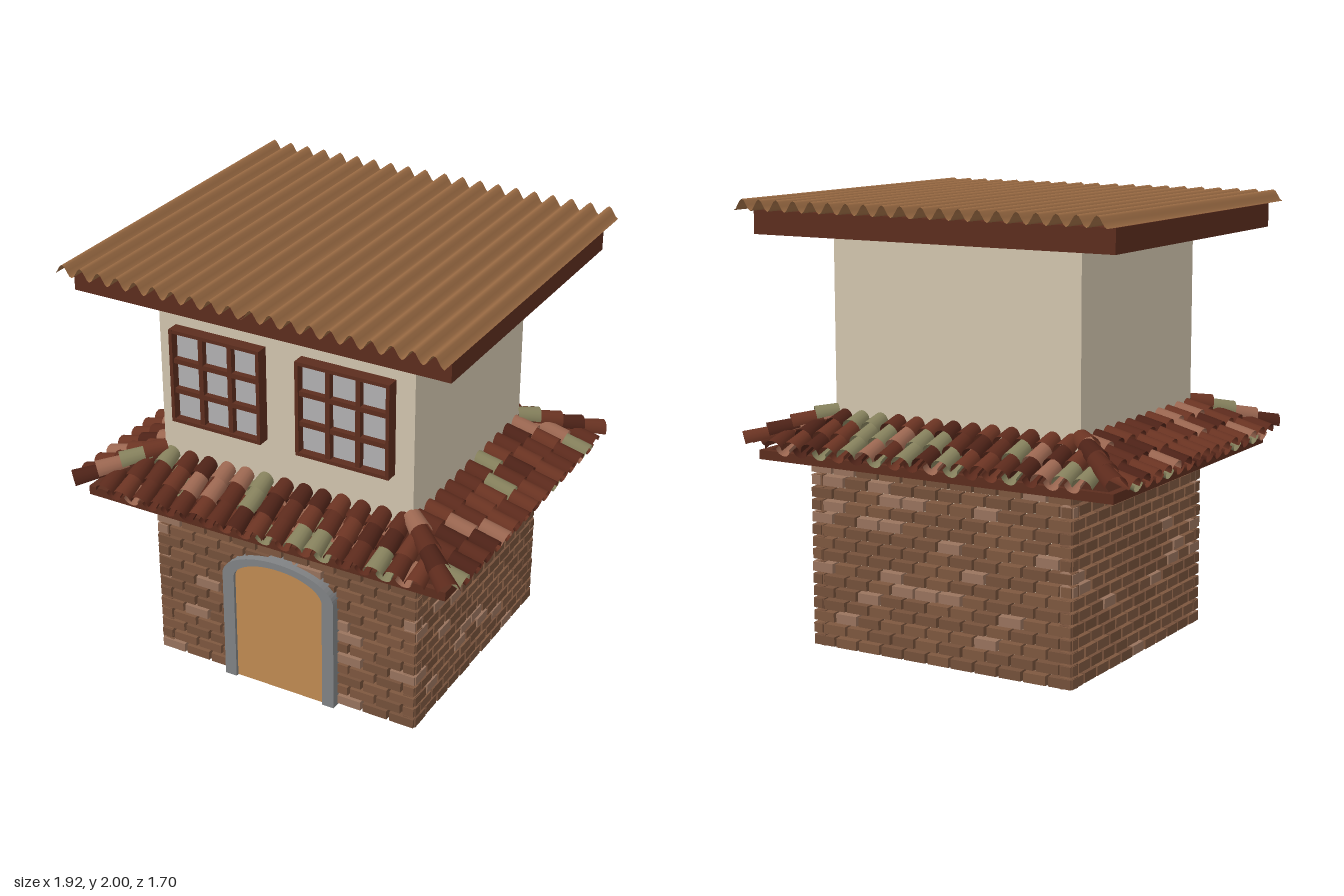
import * as THREE from 'three';
import { mergeGeometries } from 'three/addons/utils/BufferGeometryUtils.js';

const WOOD = 0x5c2d1e, CREAM = 0xd2c5ae, CX = 0.005;
const V = (x, y, z) => new THREE.Vector3(x, y, z);
const lerp = THREE.MathUtils.lerp;

let seed = 7;
const rand = () => (seed = (seed * 16807) % 2147483647) / 2147483647;

const mat = (color, opts = {}) => new THREE.MeshStandardMaterial({ color, ...opts });

function add(parent, name, geometry, color, opts) {
  const mesh = new THREE.Mesh(geometry, mat(color, opts));
  mesh.name = name;
  parent.add(mesh);
  return mesh;
}

// Box given by its limits on each axis
function box(x0, x1, y0, y1, z0, z1) {
  return new THREE.BoxGeometry(x1 - x0, y1 - y0, z1 - z0)
    .translate((x0 + x1) / 2, (y0 + y1) / 2, (z0 + z1) / 2);
}

// Collects geometries by colour and merges each set into one mesh
function batch(parent, name, opts) {
  const sets = new Map();
  return {
    put(color, geometry) {
      if (!sets.has(color)) sets.set(color, []);
      sets.get(color).push(geometry);
    },
    finish() {
      for (const [color, list] of sets) add(parent, name, mergeGeometries(list), color, opts);
    },
  };
}

// Brick with a slightly narrowed outer face (+z), back at z = -depth
function brick(u0, u1, v0, v1, depth) {
  const g = new THREE.BoxGeometry(u1 - u0, v1 - v0, depth), p = g.attributes.position;
  for (let i = 0; i < p.count; i++) if (p.getZ(i) > 0) {
    p.setX(i, p.getX(i) - Math.sign(p.getX(i)) * 0.004);
    p.setY(i, p.getY(i) - Math.sign(p.getY(i)) * 0.004);
  }
  g.computeVertexNormals();
  return g.translate((u0 + u1) / 2, (v0 + v1) / 2, -depth / 2);
}

// Courses of staggered bricks on one wall, leaving room for the doorway
function brickWall(out, u0, u1, count, matrix, doorway) {
  const rows = 15, h = 0.845 / rows, w = (u1 - u0) / count;
  for (let r = 0; r < rows; r++) {
    const y = r * h, shift = r % 2 ? -w / 2 : 0;
    const hole = doorway ? (y < 0.55 ? 0.25 : y < 0.61 ? 0.17 : 0) : 0;
    for (let i = 0; i <= count; i++) {
      let a = Math.max(u0, u0 + i * w + shift), b = Math.min(u1, u0 + (i + 1) * w + shift);
      const color = rand() < 0.12 ? 0x98735d : rand() < 0.5 ? 0x7d573f : 0x74503a;
      if (hole && a < hole && b > -hole) {
        if (a < -hole) b = -hole;
        else if (b > hole) a = hole;
        else continue;
      }
      if (b - a < 0.02) continue;
      const out0 = (rand() - 0.5) * 0.004;
      out.put(color, brick(a + 0.003, b - 0.003, y + 0.003, y + h - 0.003, 0.06)
        .translate(0, 0, out0 - 0.002).applyMatrix4(matrix));
    }
  }
}

// Half-round tapered tile from its low end to its high end; flip makes a channel
function tile(low, high, r, flip = false) {
  const up = high.clone().sub(low), len = up.length();
  up.normalize();
  const side = V(0, 1, 0).cross(up).negate().normalize();
  // side is horizontal, the third axis is the outward roof normal
  if (side.clone().cross(up).y < 0) side.negate();
  const normal = side.clone().cross(up);
  if (flip) { side.negate(); normal.negate(); }
  const g = new THREE.CylinderGeometry(r * 0.82, r, len, 8, 1, true, -Math.PI / 2, Math.PI);
  const m = new THREE.Matrix4().makeBasis(side, up, normal)
    .setPosition(low.clone().add(high).multiplyScalar(0.5));
  return g.applyMatrix4(m);
}

const TILE_COLORS = [0x5c2a1c, 0x5c2a1c, 0x6a3322, 0x6a3322, 0x4d2217, 0x9a6650, 0x85805c];
const tileColor = () => TILE_COLORS[Math.floor(rand() * TILE_COLORS.length)];

// One slope of the skirt roof: rows of cover tiles over channels
function tileSlope(out, angle, eave, top, eaveHalf, topHalf) {
  const turn = new THREE.Matrix4().makeRotationY(angle).setPosition(CX, 0, 0);
  const rows = 3, pitch = 0.096;
  const at = (t, x, lift) => V(x, lerp(0.9, 1.035, t) + lift, lerp(eave, top, t));
  for (let k = 0; k < rows; k++) {
    const half = lerp(eaveHalf, topHalf, (k + 0.4) / rows), n = Math.floor(half / pitch);
    const t0 = k / rows, t1 = Math.min(1.05, (k + 1.35) / rows);
    for (let i = -n; i <= n; i++) {
      const x = i * pitch + (rand() - 0.5) * 0.008, jog = (rand() - 0.5) * 0.03;
      out.put(tileColor(), tile(at(t0 + jog, x, 0.006), at(t1 + jog, x, -0.008), 0.046).applyMatrix4(turn));
      if (i < n) out.put(tileColor(),
        tile(at(t0, x + pitch / 2, 0.012), at(t1, x + pitch / 2, 0), 0.036, true).applyMatrix4(turn));
    }
  }
}

// Arch outline: straight jambs topped by a half ellipse
function archShape(w, spring, rise, inner) {
  const s = new THREE.Shape();
  s.moveTo(-w, 0).lineTo(-w, spring);
  s.absellipse(0, spring, w, rise, Math.PI, 0, true);
  s.lineTo(w, 0);
  if (inner) {
    s.lineTo(inner.w, 0).lineTo(inner.w, inner.spring);
    s.absellipse(0, inner.spring, inner.w, inner.rise, 0, Math.PI, false);
    s.lineTo(-inner.w, 0);
  }
  return s;
}

// Window with a 3 x 3 grid of panes
function makeWindow(x0, x1) {
  const g = new THREE.Group(), y0 = 1.23, y1 = 1.67, f = 0.016;
  g.name = 'window';
  add(g, 'windowPanes', box(x0 + 0.005, x1 - 0.005, y0 + 0.005, y1 - 0.005, 0.51, 0.54), 0xb2b0b2);
  const bars = [];
  for (let i = 0; i <= 3; i++) {
    const x = lerp(x0 + f / 2, x1 - f / 2, i / 3), y = lerp(y0 + f / 2, y1 - f / 2, i / 3);
    const z = i % 3 ? 0.57 : 0.58, h = i % 3 ? 0.011 : f / 2;
    bars.push(box(x - h, x + h, y0, y1, 0.51, z), box(x0, x1, y - h, y + h, 0.51, z - 0.001));
  }
  add(g, 'windowBars', mergeGeometries(bars), WOOD);
  return g;
}

// Corrugated sheet, open and thin
function corrugatedSheet(x0, x1) {
  const waves = 10, steps = waves * 8;
  const g = new THREE.PlaneGeometry(x1 - x0, 1.7, steps, 1).rotateX(-Math.PI / 2)
    .translate((x0 + x1) / 2, 0, 0);
  const p = g.attributes.position;
  for (let i = 0; i < p.count; i++) {
    const t = (p.getX(i) - x0) / (x1 - x0);
    p.setY(i, 1.975 - 0.025 * Math.cos(t * waves * Math.PI * 2));
  }
  g.computeVertexNormals();
  return g;
}

export function createModel() {
  seed = 7;
  const model = new THREE.Group();
  model.name = 'house';

  // Core walls
  add(model, 'lowerWall', box(-0.61, 0.63, 0.006, 0.85, -0.615, 0.525), CREAM);
  add(model, 'floor', box(-0.57, 0.635, 0.002, 0.03, -0.62, 0.53), 0x4a2418);
  add(model, 'upperWall', box(-0.61, 0.625, 0.85, 1.85, -0.52, 0.52), CREAM);

  // Brick facing on the four sides
  const bricks = batch(model, 'bricks', { flatShading: true });
  const face = (angle, x, z) => new THREE.Matrix4().makeRotationY(angle).setPosition(x, 0, z);
  brickWall(bricks, -0.65, 0.675, 10, face(0, 0, 0.57), true);
  brickWall(bricks, -0.675, 0.65, 11, face(Math.PI, 0, -0.66), false);
  brickWall(bricks, -0.565, 0.655, 11, face(Math.PI / 2, 0.675, 0), false);
  brickWall(bricks, -0.655, 0.565, 11, face(-Math.PI / 2, -0.65, 0), false);
  bricks.finish();

  // Arched doorway
  const extrude = (shape, depth) => new THREE.ExtrudeGeometry(shape, { depth, bevelEnabled: false, curveSegments: 16 });
  const surround = archShape(0.283, 0.54, 0.132, { w: 0.225, spring: 0.535, rise: 0.105 });
  add(model, 'doorFrame', extrude(surround, 0.085).translate(CX, 0, 0.52), 0x808284);
  add(model, 'door', extrude(archShape(0.23, 0.535, 0.11), 0.07).translate(CX, 0.001, 0.52), 0xc08a52);

  // Windows
  model.add(makeWindow(-0.527, -0.08), makeWindow(0.093, 0.537));

  // Skirt roof: board, sloping base, tiles
  add(model, 'lowerRoofBoard', box(-0.88, 0.89, 0.843, 0.885, -0.74, 0.74), WOOD);
  const base = new THREE.BoxGeometry(1.72, 0.12, 1.44).translate(CX, 0.94, 0), bp = base.attributes.position;
  for (let i = 0; i < bp.count; i++) if (bp.getY(i) > 0.95) {
    bp.setX(i, CX + Math.sign(bp.getX(i)) * 0.6);
    bp.setZ(i, Math.sign(bp.getZ(i)) * 0.5);
  }
  base.computeVertexNormals();
  add(model, 'skirtRoofBase', base, 0x4a2418, { flatShading: true });

  const tiles = batch(model, 'roofTiles', { side: THREE.DoubleSide });
  for (const back of [0, Math.PI]) {
    tileSlope(tiles, back, 0.79, 0.51, 0.87, 0.62);
    tileSlope(tiles, back + Math.PI / 2, 0.94, 0.61, 0.74, 0.53);
  }
  // Hip tiles down the four corners
  for (const sx of [-1, 1]) for (const sz of [-1, 1]) {
    const at = (t, lift) => V(CX + sx * lerp(0.925, 0.61, t), lerp(0.915, 1.05, t) + lift, sz * lerp(0.79, 0.51, t));
    for (let k = 0; k < 4; k++)
      tiles.put(tileColor(), tile(at(k / 4, 0.01), at(Math.min(1, (k + 1.3) / 4), -0.004), 0.05));
  }
  tiles.finish();

  // Upper roof: deep board and two corrugated sheets
  add(model, 'upperRoofBoard', box(-0.88, 0.89, 1.84, 1.945, -0.74, 0.74), WOOD);
  for (const [a, b] of [[-0.9, 0], [0.01, 0.912]])
    add(model, 'corrugatedSheet', corrugatedSheet(a, b), 0x9c6c44, { side: THREE.DoubleSide });

  return model;
}
